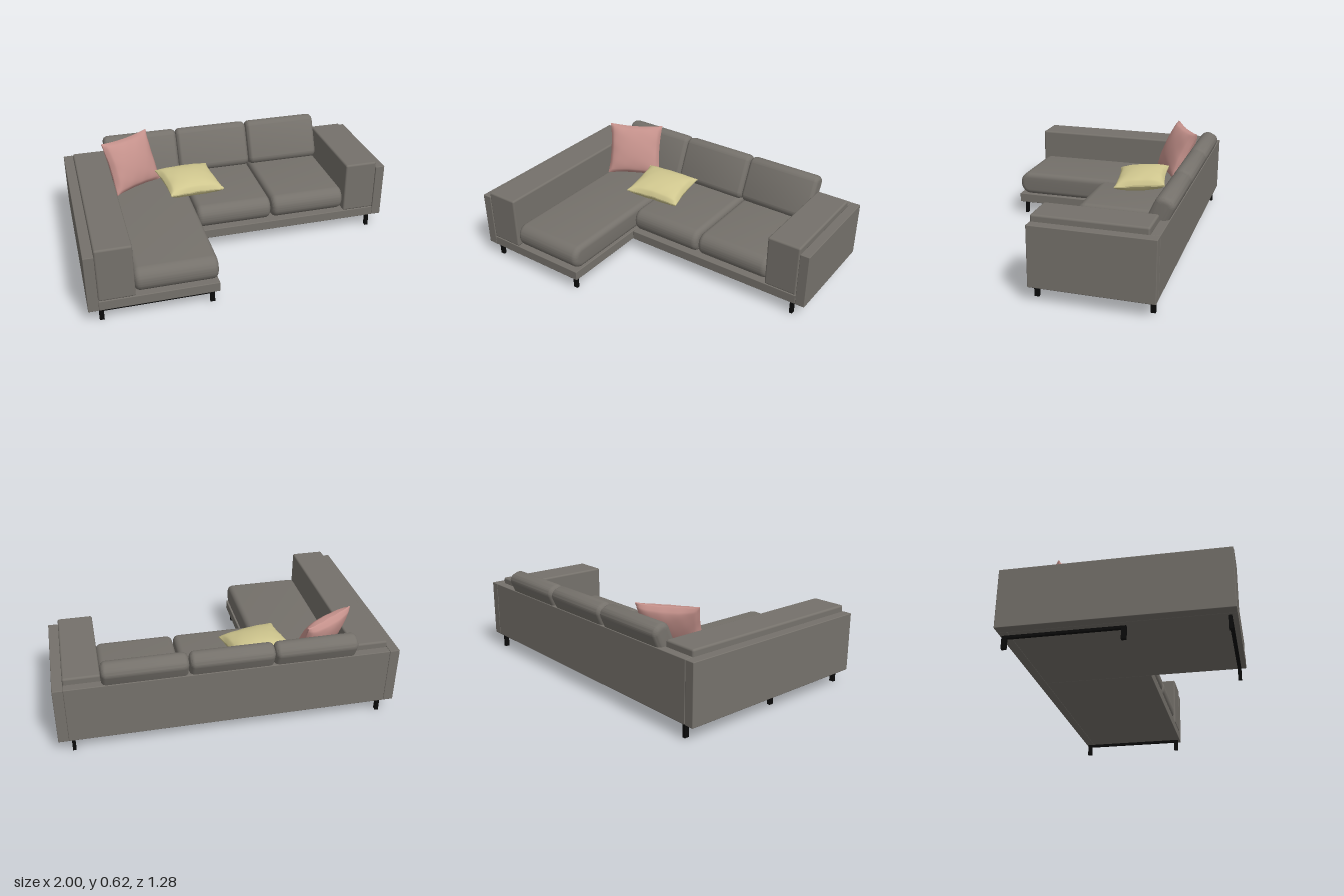
import * as THREE from 'three';
import { toCreasedNormals } from 'three/addons/utils/BufferGeometryUtils.js';
import { RoundedBoxGeometry } from 'three/addons/geometries/RoundedBoxGeometry.js';

function material(name, color) {
  const m = new THREE.MeshStandardMaterial({ color });
  m.name = name;
  return m;
}

// Box given by its min and max on each axis, with softened edges
function block(name, [x0, x1], [y0, y1], [z0, z1], mat, r = 0.004) {
  const geo = r > 0
    ? new RoundedBoxGeometry(x1 - x0, y1 - y0, z1 - z0, 3, r)
    : new THREE.BoxGeometry(x1 - x0, y1 - y0, z1 - z0);
  const mesh = new THREE.Mesh(geo, mat);
  mesh.name = name;
  mesh.position.set((x0 + x1) / 2, (y0 + y1) / 2, (z0 + z1) / 2);
  return mesh;
}

// Upholstered cushion: rounded side profile swept across its width, with bevelled sides.
// rf rounds the front (+z) edges, rb the back edges.
function cushionGeometry(w, h, d, rf, rb, bevel) {
  const a = d / 2 - bevel, b = h / 2 - bevel;
  const f = Math.max(rf - bevel, 0.005), k = Math.max(rb - bevel, 0.005);
  const s = new THREE.Shape();
  s.absarc(a - f, b - f, f, Math.PI / 2, 0, true);
  s.absarc(a - f, -b + f, f, 0, -Math.PI / 2, true);
  s.absarc(-a + k, -b + k, k, -Math.PI / 2, -Math.PI, true);
  s.absarc(-a + k, b - k, k, Math.PI, Math.PI / 2, true);
  const geo = new THREE.ExtrudeGeometry(s, {
    depth: w - 2 * bevel, bevelEnabled: true, bevelThickness: bevel,
    bevelSize: bevel, bevelSegments: 6, curveSegments: 8,
  });
  geo.translate(0, 0, -(w - 2 * bevel) / 2);
  geo.rotateY(-Math.PI / 2);
  return toCreasedNormals(geo, 0.8);
}

// Scatter pillow: plump in the middle, thin at the rim, with pointed corners
function pillowGeometry(w, h, t) {
  const geo = new THREE.BoxGeometry(2, 2, 2, 28, 28, 1);
  const p = geo.attributes.position;
  for (let i = 0; i < p.count; i++) {
    const u = p.getX(i), v = p.getY(i), side = p.getZ(i);
    const puff = Math.pow((1 - u * u) * (1 - v * v), 0.42);
    // faint creases running in from the rim
    const crease = 0.0025 * Math.sin(9 * u + 2 * v) * Math.sin(8 * v - 3 * u) * (1 - puff);
    p.setXYZ(i,
      u * (w / 2) * (1 - 0.07 * (1 - v * v)),
      v * (h / 2) * (1 - 0.07 * (1 - u * u)),
      side * (0.004 + puff * t / 2) + crease);
  }
  geo.computeVertexNormals();
  return geo;
}

// Sled leg: top bar with a post at each end, running along x and centred
function sledLeg(name, length, mat) {
  const g = new THREE.Group();
  g.name = name;
  const e = length / 2;
  g.add(block('legBar', [-e, e], [0.06, 0.075], [-0.01, 0.01], mat, 0));
  for (const s of [-1, 1]) {
    const c = s * (e - 0.0135);
    g.add(block('legPost', [c - 0.0135, c + 0.0135], [0, 0.06], [-0.01, 0.01], mat, 0));
  }
  return g;
}

export function createModel() {
  const sofa = new THREE.Group();
  sofa.name = 'cornerSofa';
  const fabric = material('greyFabric', 0x75716b);
  const pink = material('pinkFabric', 0xc4918b);
  const yellow = material('yellowFabric', 0xcfc68e);
  const metal = material('blackMetal', 0x0a0a0a);

  const back = -0.565, front = 0.08, chaiseFront = 0.642;

  // Bases
  sofa.add(block('chaiseBase', [-0.94, -0.25], [0.085, 0.145], [back, chaiseFront], fabric));
  sofa.add(block('mainBase', [-0.25, 0.94], [0.085, 0.145], [back, front], fabric));

  // Back panel
  sofa.add(block('backPanel', [-0.94, 0.94], [0.085, 0.438], [-0.618, back], fabric));

  // Arms: thick inner block with a lower outer panel
  for (const [side, s, end] of [['right', -1, chaiseFront], ['left', 1, front]]) {
    const span = (a, b) => (s > 0 ? [a, b] : [-b, -a]);
    sofa.add(block(side + 'Arm', span(0.732, 0.94), [0.145, 0.475], [back, end], fabric, 0.012));
    sofa.add(block(side + 'OuterPanel', span(0.94, 1), [0.085, 0.438], [-0.618, end], fabric));
  }

  // Seat and back cushions
  [-0.492, -0.004, 0.488].forEach((x, i) => {
    const end = i === 0 ? 0.64 : 0.075;
    const depth = end - back;
    const seat = new THREE.Mesh(cushionGeometry(0.482, 0.149, depth, 0.07, 0.045, 0.034), fabric);
    seat.name = i === 0 ? 'chaiseCushion' : 'seatCushion';
    seat.position.set(x, 0.2205, end - depth / 2);
    sofa.add(seat);

    const rest = new THREE.Mesh(cushionGeometry(0.486, 0.3, 0.115, 0.05, 0.045, 0.032), fabric);
    rest.name = 'backCushion';
    rest.position.set(x, 0.42, -0.543);
    rest.rotation.x = -0.42;
    sofa.add(rest);
  });

  // Scatter pillows
  const pinkPillow = new THREE.Mesh(pillowGeometry(0.36, 0.345, 0.125), pink);
  pinkPillow.name = 'pinkPillow';
  pinkPillow.position.set(-0.58, 0.452, -0.39);
  pinkPillow.rotation.set(-0.42, 0.54, -0.03, 'YXZ');
  sofa.add(pinkPillow);

  const yellowPillow = new THREE.Mesh(pillowGeometry(0.36, 0.325, 0.115), yellow);
  yellowPillow.name = 'yellowPillow';
  yellowPillow.position.set(-0.232, 0.352, -0.232);
  yellowPillow.rotation.set(-Math.PI / 2 + 0.09, 0, 0);
  const tilt = new THREE.Group();
  tilt.name = 'yellowPillowTilt';
  tilt.position.copy(yellowPillow.position);
  yellowPillow.position.set(0, 0, 0);
  tilt.rotation.set(0, 0.145, -0.06, 'YXZ');
  tilt.add(yellowPillow);
  sofa.add(tilt);

  // Sled legs under both sides and the chaise front
  for (const s of [-1, 1]) {
    const leg = sledLeg(s < 0 ? 'rightLeg' : 'leftLeg', 0.67, metal);
    leg.position.set(s * 0.915, 0, -0.265);
    leg.rotation.y = Math.PI / 2;
    sofa.add(leg);
  }
  const chaiseLeg = sledLeg('chaiseLeg', 0.665, metal);
  chaiseLeg.position.set(-0.608, 0, 0.605);
  sofa.add(chaiseLeg);

  return sofa;
}
